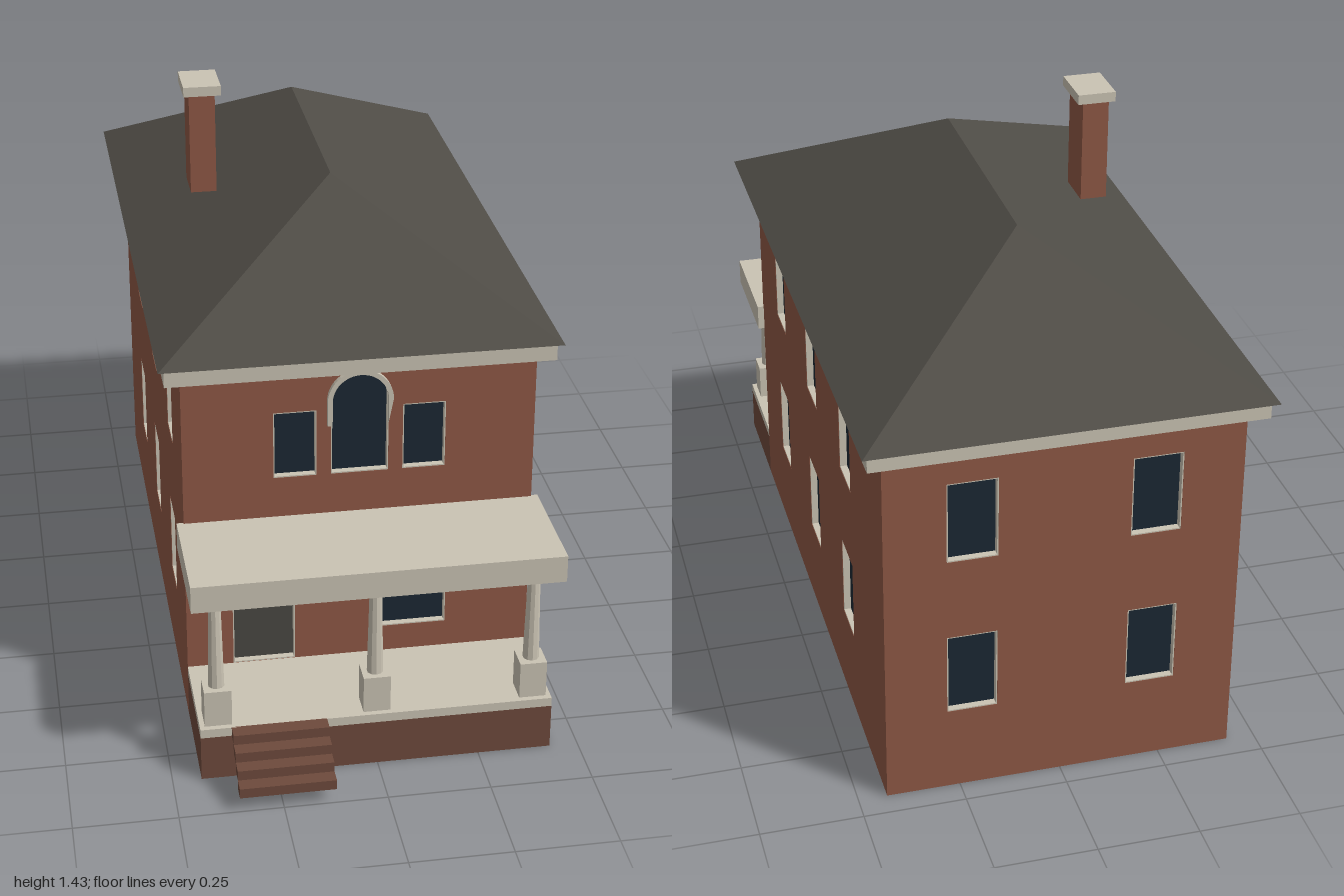
import * as THREE from 'three';

const mat = (name, color, side = THREE.FrontSide) => {
  const m = new THREE.MeshStandardMaterial({ color, side });
  m.name = name;
  return m;
};
const BRICK = mat('brick', 0x8e5845, THREE.DoubleSide);
const BASE = mat('darkBrick', 0x6e4a3c);
const CREAM = mat('creamTrim', 0xcac3b3);
const ROOF = mat('slate', 0x4f4c46);
const GLASS = mat('darkGlass', 0x1b2833, THREE.DoubleSide);
const DOOR = mat('doorGrey', 0x4a4843, THREE.DoubleSide);

const T = 0.02; // wall thickness

function add(parent, name, geometry, material, x = 0, y = 0, z = 0) {
  const m = new THREE.Mesh(geometry, material);
  m.name = name;
  m.position.set(x, y, z);
  parent.add(m);
  return m;
}

// Box given by its limits on each axis
function block(parent, name, material, x0, x1, y0, y1, z0, z1) {
  return add(parent, name, new THREE.BoxGeometry(x1 - x0, y1 - y0, z1 - z0), material,
    (x0 + x1) / 2, (y0 + y1) / 2, (z0 + z1) / 2);
}

// Rectangle outline, optionally topped by a half circle and shrunk by an inset
function outline(Type, { x0, x1, y0, y1, arch }, inset = 0) {
  const p = new Type();
  const a = x0 + inset, b = x1 - inset, top = y1 - (arch ? 0 : inset);
  p.moveTo(a, y0 + inset);
  p.lineTo(b, y0 + inset);
  p.lineTo(b, top);
  if (arch) p.absarc((a + b) / 2, top, (b - a) / 2, 0, Math.PI, false);
  else p.lineTo(a, top);
  p.closePath();
  return p;
}

const extrude = (shape, depth) =>
  new THREE.ExtrudeGeometry(shape, { depth, bevelEnabled: false, curveSegments: 12 });

// Wall facing local +z with recessed, trimmed openings
function wall(parent, name, width, height, openings) {
  const g = new THREE.Group();
  g.name = name;
  const shape = outline(THREE.Shape, { x0: -width / 2, x1: width / 2, y0: 0, y1: height });
  openings.forEach(o => shape.holes.push(outline(THREE.Path, o)));
  add(g, name + 'Brickwork', extrude(shape, T), BRICK, 0, 0, -T);
  add(g, name + 'Lining', new THREE.PlaneGeometry(width, height), BRICK, 0, height / 2, -T - 0.001);
  openings.forEach(o => {
    const frame = outline(THREE.Shape, o);
    frame.holes.push(outline(THREE.Path, o, 0.003));
    add(g, o.door ? 'doorFrame' : 'windowFrame', extrude(frame, T - 0.001), CREAM, 0, 0, -T);
    add(g, o.door ? 'frontDoor' : 'windowGlass',
      new THREE.ShapeGeometry(outline(THREE.Shape, o, 0.002)), o.door ? DOOR : GLASS, 0, 0, -T + 0.002);
  });
  parent.add(g);
  return g;
}

// Two storeys of equal windows at the given centres
const windowGrid = centres => centres.flatMap(c =>
  [[0.22, 0.433], [0.642, 0.852]].map(([y0, y1]) => ({ x0: c - 0.061, x1: c + 0.061, y0, y1 })));

// Hipped roof from four eave corners and two ridge ends
function roofGeometry() {
  const x = 0.485, y = 0.98, r = 1.26;
  const a = [-x, y, 0.63], b = [x, y, 0.63], c = [x, y, -1], d = [-x, y, -1];
  const f = [0, r, 0.14], k = [0, r, -0.51];
  const faces = [a, b, f, b, c, k, b, k, f, c, d, k, d, a, f, d, f, k, a, d, c, a, c, b];
  const g = new THREE.BufferGeometry();
  g.setAttribute('position', new THREE.Float32BufferAttribute(faces.flat(), 3));
  g.computeVertexNormals();
  return g;
}

export function createModel() {
  const house = new THREE.Group();
  house.name = 'house';
  const H = 0.94, zMid = -0.18, length = 1.52;

  // Walls, open underneath
  wall(house, 'frontWall', 0.86, H, [
    { x0: -0.315, x1: -0.16, y0: 0.14, y1: 0.456, door: true },
    { x0: 0.03, x1: 0.22, y0: 0.21, y1: 0.446 },
    { x0: -0.21, x1: -0.105, y0: 0.655, y1: 0.83 },
    { x0: 0.105, x1: 0.21, y0: 0.655, y1: 0.83 },
    { x0: -0.07, x1: 0.07, y0: 0.655, y1: 0.855, arch: true },
  ]).position.z = 0.58;
  const back = wall(house, 'backWall', 0.86, H, windowGrid([-0.22, 0.22]));
  back.position.z = -0.94;
  back.rotation.y = Math.PI;
  const sideCentres = [0.285, -0.126, -0.532].map(z => z - zMid);
  for (const s of [1, -1]) {
    const side = wall(house, s > 0 ? 'leftWall' : 'rightWall', length, H,
      windowGrid(sideCentres.map(c => -s * c)));
    side.position.set(s * 0.43, 0, zMid);
    side.rotation.y = s * Math.PI / 2;
  }

  // Arched trim over the middle window
  const arch = new THREE.Shape();
  arch.moveTo(0.08, 0.79);
  arch.absarc(0, 0.853, 0.08, 0, Math.PI, false);
  arch.lineTo(-0.08, 0.79);
  arch.lineTo(-0.068, 0.79);
  arch.absarc(0, 0.853, 0.068, Math.PI, 0, true);
  arch.lineTo(0.068, 0.79);
  arch.closePath();
  add(house, 'archTrim', extrude(arch, 0.016), CREAM, 0, 0, 0.576);

  // Roof, cornice and chimney
  block(house, 'cornice', CREAM, -0.47, 0.47, 0.935, 0.979, -0.98, 0.615);
  add(house, 'hipRoof', roofGeometry(), ROOF);
  block(house, 'chimney', BRICK, -0.326, -0.26, 1.145, 1.405, -0.18, -0.07);
  block(house, 'chimneyCap', CREAM, -0.34, -0.245, 1.405, 1.43, -0.19, -0.06);

  // Porch base is a hollow skirt under the floor slab
  const porch = new THREE.Group();
  porch.name = 'porch';
  house.add(porch);
  block(porch, 'porchBaseFront', BASE, -0.43, 0.43, 0, 0.117, 0.84, 0.857);
  for (const s of [1, -1]) {
    block(porch, 'porchBaseSide', BASE, s * 0.4215 - 0.0085, s * 0.4215 + 0.0085, 0, 0.117, 0.58, 0.84);
  }
  block(porch, 'porchFloor', CREAM, -0.43, 0.43, 0.117, 0.14, 0.58, 0.857);
  block(porch, 'porchRoof', CREAM, -0.447, 0.447, 0.48, 0.549, 0.575, 0.877);

  // Columns on square pedestals
  for (const x of [-0.385, 0, 0.385]) {
    const column = new THREE.Group();
    column.name = 'porchColumn';
    column.position.set(x, 0, 0.81);
    porch.add(column);
    block(column, 'pedestal', CREAM, -0.033, 0.033, 0.14, 0.235, -0.033, 0.033);
    const shaft = new THREE.CylinderGeometry(0.015, 0.02, 0.225, 10).toNonIndexed();
    shaft.computeVertexNormals();
    add(column, 'shaft', shaft, CREAM, 0, 0.347, 0);
    block(column, 'capital', CREAM, -0.028, 0.028, 0.458, 0.48, -0.028, 0.028);
  }

  // Open stair of four overlapping treads
  for (let i = 0; i < 4; i++) {
    const z = 1 - i * 0.0358, y = 0.038 + i * 0.0255;
    block(porch, 'step', BASE, -0.355, -0.124, y, y + 0.0255, z - 0.038, z);
  }
  return house;
}
